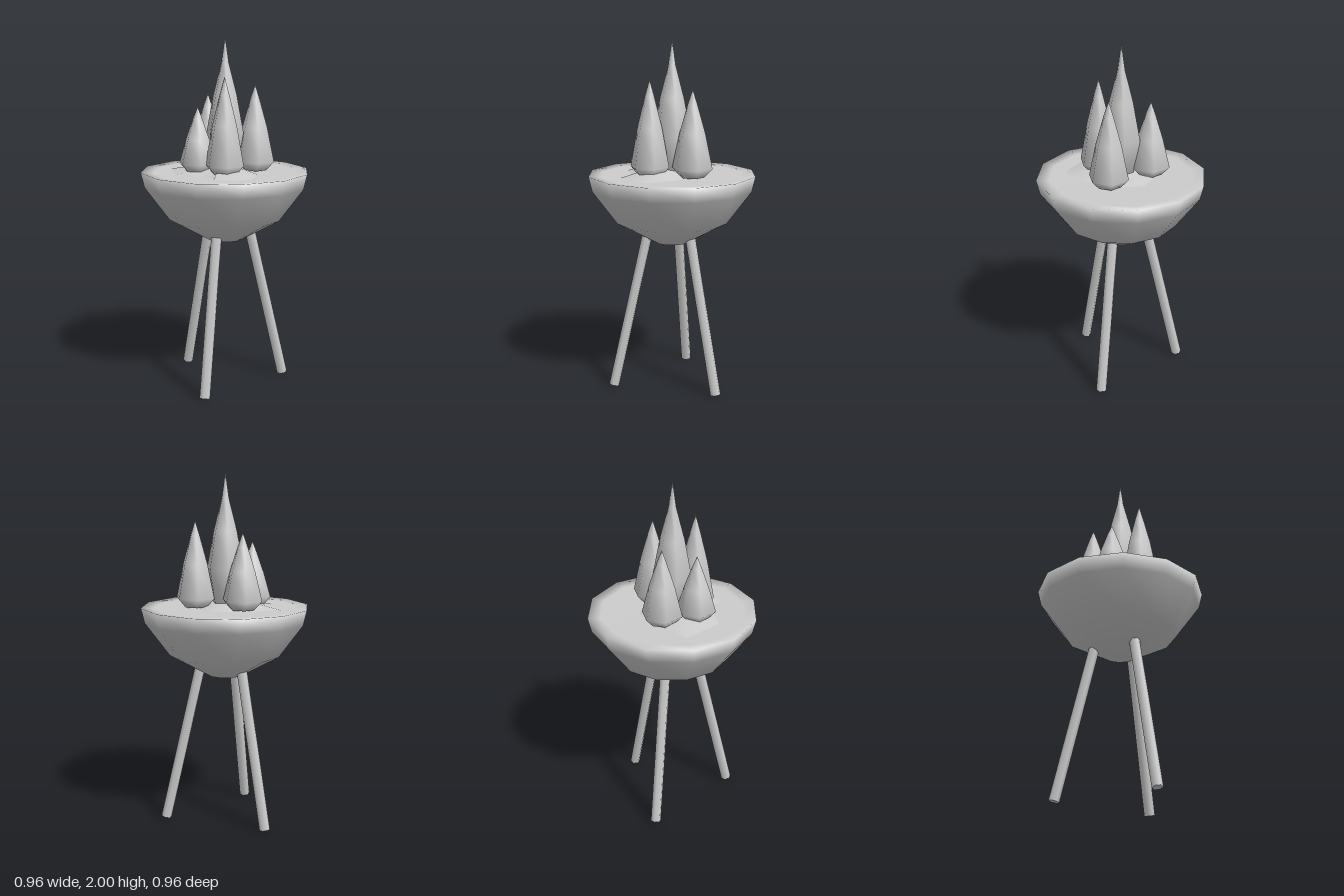
import * as THREE from 'three';

const stone = new THREE.MeshStandardMaterial({ color: 0xcccccc });
stone.name = 'light grey';

function addPart(parent, name, geometry) {
  const mesh = new THREE.Mesh(geometry, stone);
  mesh.name = name;
  parent.add(mesh);
  return mesh;
}

// Faceted solid of revolution with smooth normals
function turned(profile, sides, start) {
  const points = profile.map((p) => new THREE.Vector2(p[0], p[1]));
  return new THREE.LatheGeometry(points, sides, start);
}

// Straight six-sided rod between two points
function rod(a, b, radius) {
  const dir = b.clone().sub(a);
  const geometry = new THREE.CylinderGeometry(radius, radius, dir.length(), 6);
  const up = new THREE.Vector3(0, 1, 0);
  const turn = new THREE.Quaternion();
  turn.setFromUnitVectors(up, dir.normalize());
  geometry.applyQuaternion(turn);
  const mid = a.clone().lerp(b, 0.5);
  geometry.translate(mid.x, mid.y, mid.z);
  return geometry;
}

// Low, irregular heap: outline on the bowl, a raised inner ring and a peak
function heap(outline, cx, cz, baseY, ringY, peakY) {
  const n = outline.length;
  const positions = [];
  const index = [];
  for (const p of outline) {
    positions.push(p[0], baseY, p[1]);
  }
  for (const p of outline) {
    const x = (p[0] + cx) / 2;
    const z = (p[1] + cz) / 2;
    positions.push(x, ringY, z);
  }
  positions.push(cx, peakY, cz);
  for (let i = 0; i < n; i++) {
    const j = (i + 1) % n;
    index.push(i, j, n + j);
    index.push(i, n + j, n + i);
    index.push(n + i, n + j, 2 * n);
  }
  const geometry = new THREE.BufferGeometry();
  geometry.setAttribute('position', new THREE.Float32BufferAttribute(positions, 3));
  geometry.setIndex(index);
  geometry.computeVertexNormals();
  return geometry;
}

export function createModel() {
  const model = new THREE.Group();
  model.name = 'brazier';

  // Twelve-sided bowl, filled nearly to the rim
  const bowlProfile = [
    [0, 0.845], [0.1, 0.848], [0.32, 0.97], [0.46, 1.16],
    [0.48, 1.245], [0.41, 1.238], [0, 1.238],
  ];
  addPart(model, 'bowl', turned(bowlProfile, 12, 0));

  // Three splayed legs, one at the front
  for (let i = 0; i < 3; i++) {
    const angle = i * Math.PI * 2 / 3;
    const s = Math.sin(angle);
    const c = Math.cos(angle);
    const foot = new THREE.Vector3(0.35 * s, 0.006, 0.35 * c);
    const top = new THREE.Vector3(0.145 * s, 0.9, 0.145 * c);
    addPart(model, 'leg', rod(foot, top, 0.03));
  }

  // Embers under the flames
  const emberOutline = [
    [0.21, 0.04], [0.1, -0.14], [0, -0.2], [-0.1, -0.16], [-0.24, -0.07],
    [-0.34, 0], [-0.22, 0.215], [-0.1, 0.22], [0.02, 0.25], [0.04, 0.315],
    [0.16, 0.275], [0.23, 0.23], [0.23, 0.16],
  ];
  addPart(model, 'embers', heap(emberOutline, 0, 0.05, 1.236, 1.268, 1.282));

  // Outer flames: x, z, tip height, shoulder radius
  const flames = [
    [-0.135, -0.09, 1.67, 0.115],
    [0.152, -0.075, 1.73, 0.115],
    [-0.125, 0.105, 1.61, 0.11],
    [0.045, 0.14, 1.78, 0.112],
  ];
  for (const [x, z, tip, r] of flames) {
    const h = tip - 1.245;
    const profile = [
      [0, 1.245], [r * 0.6, 1.245], [r, 1.295],
      [r * 0.64, 1.245 + h * 0.5], [r * 0.25, 1.245 + h * 0.82], [0, tip],
    ];
    const flame = addPart(model, 'flame', turned(profile, 6, Math.PI / 2));
    flame.position.set(x, 0, z);
  }

  // Tall flame in the middle
  const centreProfile = [
    [0, 1.25], [0.07, 1.25], [0.11, 1.46], [0.07, 1.67], [0.022, 1.85], [0, 2],
  ];
  addPart(model, 'centreFlame', turned(centreProfile, 6, Math.PI / 2));

  return model;
}
